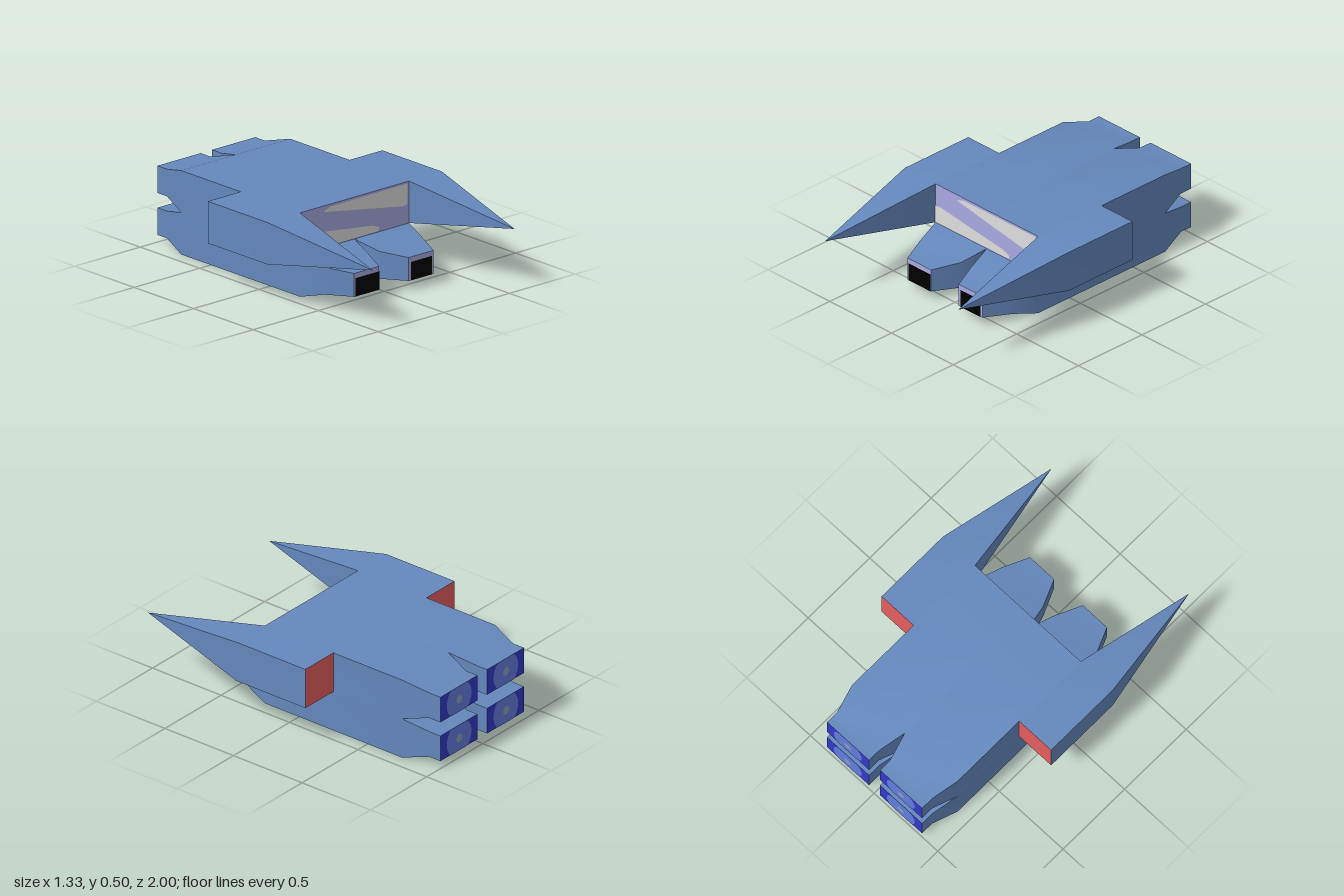
import * as THREE from 'three';
import { toCreasedNormals } from 'three/addons/utils/BufferGeometryUtils.js';

const mat = (name, color) => {
  const m = new THREE.MeshStandardMaterial({ color });
  m.name = name;
  return m;
};

// Open loft through rectangles [z, x0, x1, y0, y1], listed from back to front,
// with shallow bends smoothed and corners kept sharp
function loft(sections) {
  const rings = sections.map(([z, x0, x1, y0, y1]) =>
    [[x0, y0, z], [x1, y0, z], [x1, y1, z], [x0, y1, z]]);
  const pos = [];
  for (let i = 0; i < rings.length - 1; i++) {
    for (let k = 0; k < 4; k++) {
      const n = (k + 1) % 4;
      const [a, b, c, d] = [rings[i][k], rings[i][n], rings[i + 1][n], rings[i + 1][k]];
      pos.push(...a, ...b, ...c, ...a, ...c, ...d);
    }
  }
  const g = new THREE.BufferGeometry();
  g.setAttribute('position', new THREE.Float32BufferAttribute(pos, 3));
  return toCreasedNormals(g, 0.5);
}

// Flat panel from 2D points
const panel = (pts) =>
  new THREE.ShapeGeometry(new THREE.Shape(pts.map(([x, y]) => new THREE.Vector2(x, y))));

// Circle with its top and bottom cut off at +-h
function clippedCircle(r, h) {
  const pts = [];
  for (let i = 0; i < 40; i++) {
    const a = (i / 40) * Math.PI * 2;
    pts.push([r * Math.cos(a), Math.max(-h, Math.min(h, r * Math.sin(a)))]);
  }
  return panel(pts);
}

export function createModel() {
  const blue = mat('hullBlue', 0x6588bd);
  const lavender = mat('windowLavender', 0xa9a9e2);
  const silver = mat('glareSilver', 0xdedede);
  const black = mat('intakeBlack', 0x000000);
  const red = mat('ventRed', 0xe45e5e);
  const navy = mat('engineNavy', 0x3339cc);
  const glow = mat('engineGlow', 0x627cdc);
  const core = mat('engineCore', 0x8aa0b8);

  const root = new THREE.Group();
  root.name = 'spaceship';
  const add = (name, geo, material, x = 0, y = 0, z = 0, backward = false) => {
    const m = new THREE.Mesh(geo, material);
    m.name = name;
    m.position.set(x, y, z);
    if (backward) m.rotation.y = Math.PI;
    root.add(m);
  };

  const W = 0.415; // half width of the hull

  // Windscreen with two slanted glare bands
  add('windscreen', new THREE.PlaneGeometry(2 * W, 0.25), lavender, 0, 0.375, 0.25);
  add('upperGlare', panel([[-0.24, 0.465], [-0.15, 0.45], [0.375, 0.36], [0.4, 0.37],
    [0.4, 0.49], [-0.19, 0.486]]), silver, 0, 0, 0.253);
  add('lowerGlare', panel([[-W, 0.253], [0.18, 0.257], [0.185, 0.28], [0.13, 0.3],
    [-0.37, 0.365], [-W, 0.36]]), silver, 0, 0, 0.253);

  for (const [side, s] of [['left', 1], ['right', -1]]) {
    const span = (a, b) => (s > 0 ? [a, b] : [-b, -a]);

    // Side pod tapering to a spike, with a red vent behind
    add(side + 'Wing', loft([
      [-0.25, ...span(W, 0.665), 0.25, 0.5],
      [0.25, ...span(W, 0.665), 0.25, 0.5],
      [1, ...span(0.54, 0.54), 0.375, 0.375]]), blue);
    add(side + 'Vent', new THREE.PlaneGeometry(0.25, 0.25), red, s * 0.54, 0.375, -0.25, true);

    // Hull quarters, each narrowing to an engine; the lower ones end in front prongs
    const prong = [
      [0.415, ...span(0.04, 0.375), 0.045, 0.208],
      [0.58, ...span(0.112, 0.303), 0.057, 0.196]];
    for (const [level, y, nose] of [['Lower', 0, prong], ['Upper', 0.25, []]]) {
      const name = side + level;
      const end = [...span(0.043, 0.373), y + 0.045, y + 0.207];
      const full = [...span(0, W), y, y + 0.25];
      add(name + 'Hull', loft([[-0.996, ...end], [-0.915, ...end],
        [-0.75, ...full], [0.25, ...full], ...nose]), blue);

      // Engine outlet
      const cx = s * 0.208, cy = y + 0.126;
      add(name + 'EnginePanel', new THREE.PlaneGeometry(0.33, 0.162), navy, cx, cy, -0.996, true);
      add(name + 'EngineGlow', clippedCircle(0.11, 0.081), glow, cx, cy, -0.998, true);
      add(name + 'EngineCore', new THREE.CircleGeometry(0.026, 20), core, cx, cy, -1, true);
    }
    add(side + 'IntakeRim', new THREE.PlaneGeometry(0.191, 0.139), lavender, s * 0.2075, 0.1265, 0.58);
  }

  // Dark intake openings
  add('leftIntake', new THREE.PlaneGeometry(0.16, 0.11), black, 0.21, 0.112, 0.583);
  add('rightIntake', new THREE.PlaneGeometry(0.18, 0.11), black, -0.203, 0.112, 0.583);
  return root;
}
